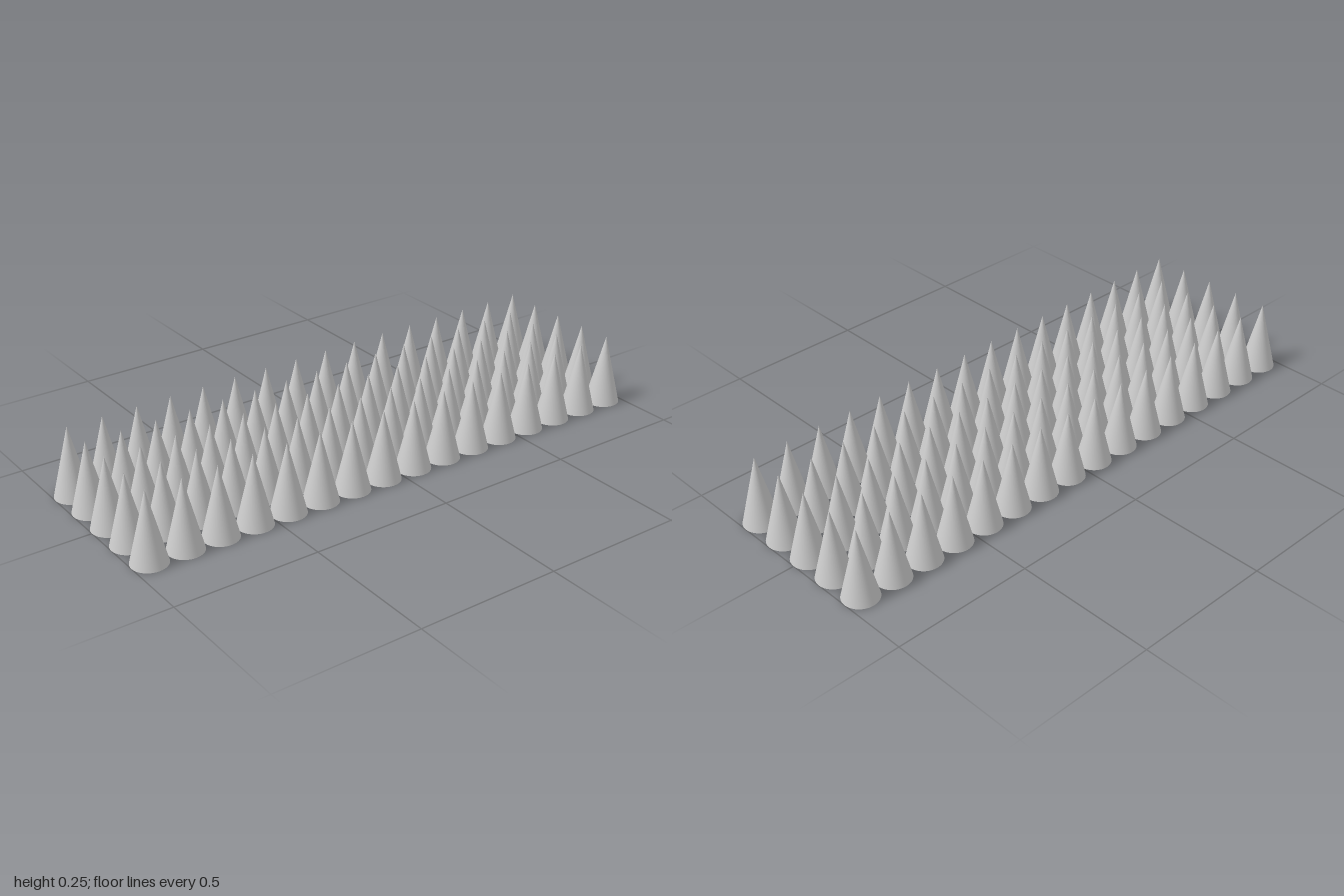
import * as THREE from 'three';

const COLUMNS = 5, ROWS = 16;
const PITCH = 2 / (ROWS - 0.02);   // spacing that leaves a hairline gap between cones
const RADIUS = PITCH * 0.49;
const HEIGHT = PITCH * 2;

export function createModel() {
  const model = new THREE.Group();
  model.name = 'coneField';
  const material = new THREE.MeshStandardMaterial({ color: 0xcccccc });

  // One closed cone standing on the ground, shared by the whole grid
  const cone = new THREE.ConeGeometry(RADIUS, HEIGHT, 48);
  cone.translate(0, HEIGHT / 2, 0);

  // Rows run along z, columns along x
  for (let r = 0; r < ROWS; r++) {
    const row = new THREE.Group();
    row.name = `coneRow${r + 1}`;
    row.position.z = (r - (ROWS - 1) / 2) * PITCH;
    for (let c = 0; c < COLUMNS; c++) {
      const mesh = new THREE.Mesh(cone, material);
      mesh.name = `cone${c + 1}`;
      mesh.position.x = (c - (COLUMNS - 1) / 2) * PITCH;
      row.add(mesh);
    }
    model.add(row);
  }
  return model;
}
